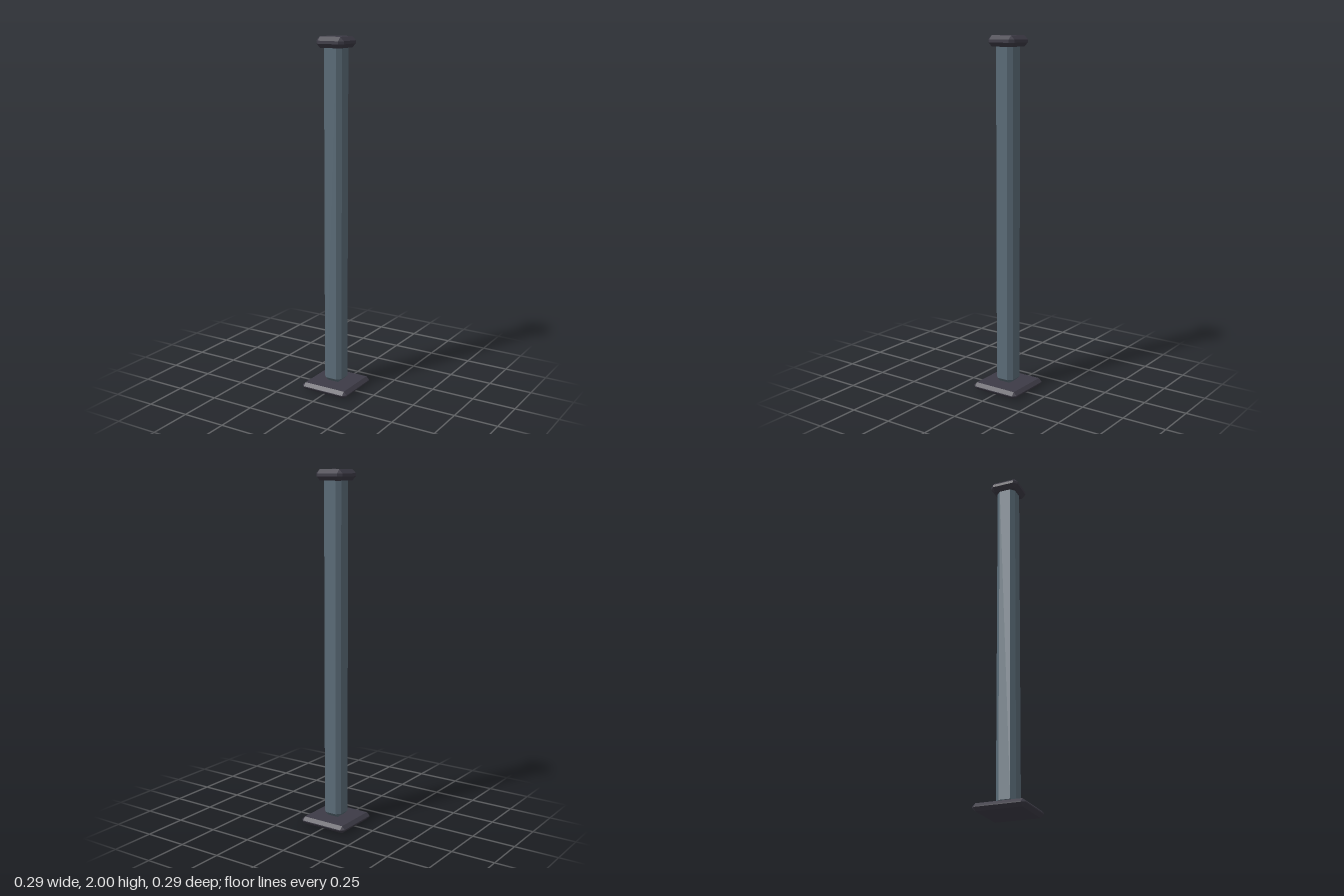
import * as THREE from 'three';
import { ConvexGeometry } from 'three/addons/geometries/ConvexGeometry.js';

// Square block with every edge and corner chamfered by b
function chamferedBlock(name, half, y0, y1, b, material) {
  const h = (y1 - y0) / 2;
  const points = [];
  for (const sx of [-1, 1]) for (const sy of [-1, 1]) for (const sz of [-1, 1]) {
    points.push(
      new THREE.Vector3(sx * half, sy * (h - b), sz * (half - b)),
      new THREE.Vector3(sx * (half - b), sy * h, sz * (half - b)),
      new THREE.Vector3(sx * (half - b), sy * (h - b), sz * half)
    );
  }
  const mesh = new THREE.Mesh(new ConvexGeometry(points), material);
  mesh.name = name;
  mesh.position.y = (y0 + y1) / 2;
  return mesh;
}

export function createModel() {
  const darkMetal = new THREE.MeshStandardMaterial({ color: 0x3d3b46 });
  darkMetal.name = 'dark metal';
  const blueGrey = new THREE.MeshStandardMaterial({ color: 0x5a6b77 });
  blueGrey.name = 'blue grey';

  const group = new THREE.Group();
  group.name = 'post';
  group.add(
    // Flat foot plate
    chamferedBlock('basePlate', 0.147, 0, 0.042, 0.0185, darkMetal),
    // Tall shaft, its upper end sunk into the cap
    chamferedBlock('shaft', 0.056, 0.044, 1.985, 0.023, blueGrey),
    // Cap on top
    chamferedBlock('cap', 0.085, 1.94, 2, 0.022, darkMetal)
  );
  return group;
}
